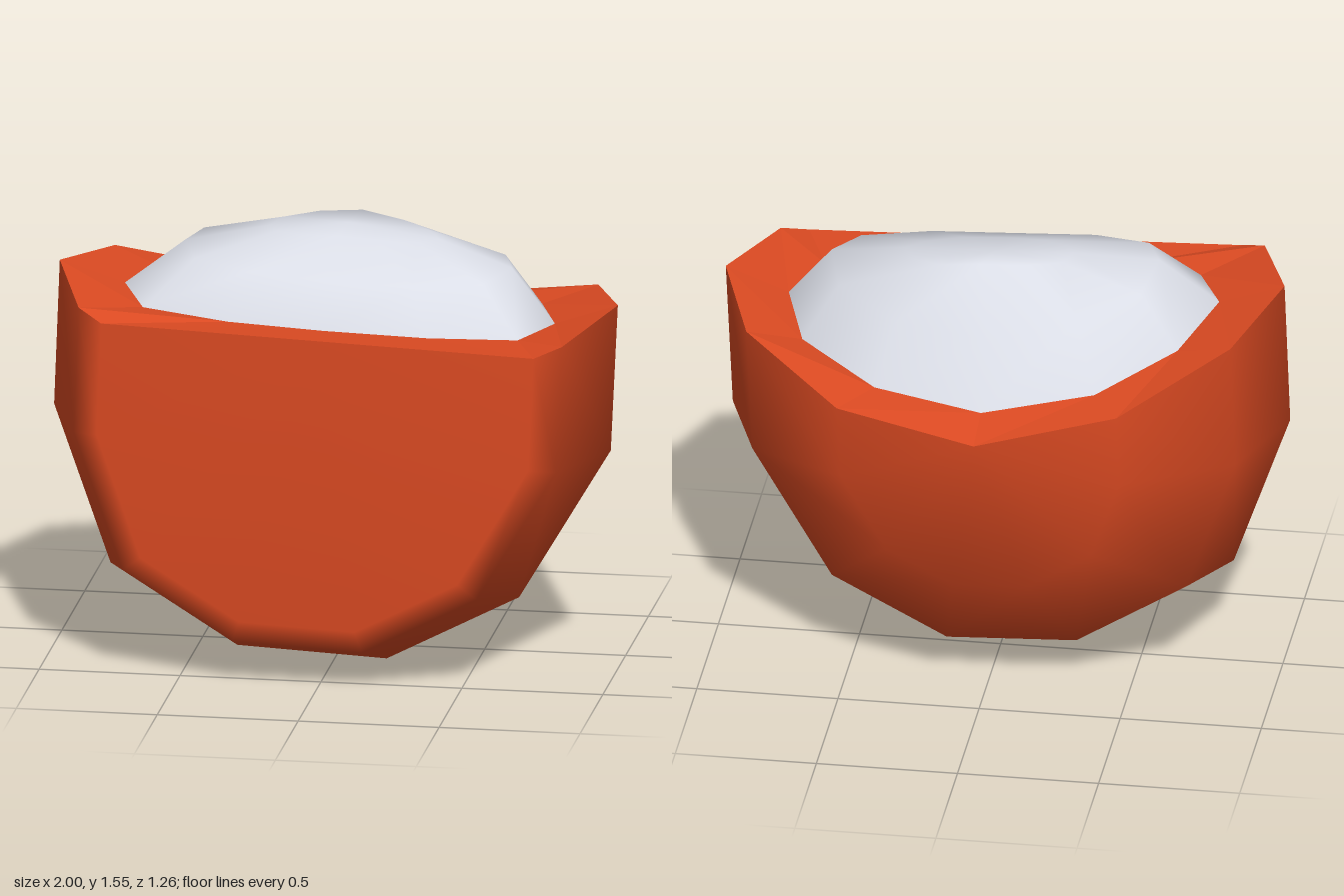
import * as THREE from 'three';
import { mergeVertices } from 'three/addons/utils/BufferGeometryUtils.js';

const shellOrange = new THREE.MeshStandardMaterial({ color: 0xdb4a22 });
const fillingWhite = new THREE.MeshStandardMaterial({ color: 0xdadde6 });

// Skin a list of equally long cross-sections; smooth ones share their vertices
function loft(rings, closed, smooth) {
  const n = rings[0].length, pos = [];
  for (let i = 0; i < rings.length - 1; i++) {
    for (let j = 0; j < (closed ? n : n - 1); j++) {
      const k = (j + 1) % n;
      const a = rings[i][j], b = rings[i][k], c = rings[i + 1][k], d = rings[i + 1][j];
      pos.push(...a, ...b, ...c, ...a, ...c, ...d);
    }
  }
  return build(pos, smooth);
}

function build(pos, smooth) {
  let geo = new THREE.BufferGeometry();
  geo.setAttribute('position', new THREE.Float32BufferAttribute(pos, 3));
  if (smooth) geo = mergeVertices(geo);
  geo.computeVertexNormals();
  return geo;
}

function addMesh(group, name, geo, mat) {
  const mesh = new THREE.Mesh(geo, mat);
  mesh.name = name;
  group.add(mesh);
}

export function createModel() {
  const group = new THREE.Group();

  // Widest section of the shell, from the left rim under the belly to the right rim
  const section = [[-0.98, 1.405], [-1, 0.88], [-0.8, 0.31], [-0.35, 0.03],
    [0.18, 0.005], [0.65, 0.25], [0.975, 0.8], [1, 1.33]];
  // Depth and scale of each section, from the back pole to the flat front
  const stations = [[-0.53, 0.5], [-0.23, 0.866], [0.17, 1], [0.57, 0.866], [0.63, 0.775]];
  const pole = [0, 1.105, -0.63];
  const rings = [section.map(() => pole),
    ...stations.map(([z, s]) => section.map(([x, y]) => [x * s, 1 + (y - 1) * s, z]))];
  // Close the flat front onto a centre point
  const front = rings[rings.length - 1];
  const rimFront = [0, (front[0][1] + front[7][1]) / 2, 0.63];
  rings.push(section.map(() => rimFront));
  addMesh(group, 'outerShell', loft(rings, false, true), shellOrange);

  // Outline where the filling meets the rim, starting at the back and going to +x
  const base = [[0, 1.15, -0.46], [0.39, 1.18, -0.38], [0.68, 1.23, -0.15], [0.775, 1.25, 0.16],
    [0.68, 1.25, 0.39], [0.37, 1.262, 0.455], [0, 1.275, 0.465], [-0.34, 1.29, 0.455],
    [-0.65, 1.31, 0.39], [-0.75, 1.33, 0.16], [-0.65, 1.29, -0.155], [-0.39, 1.21, -0.38]];
  const outer = rings.slice(1, 6);
  const rim = [pole, ...outer.map((r) => r[7]), rimFront, ...outer.map((r) => r[0]).reverse()];
  addMesh(group, 'rim', loft([base, rim], true, false), shellOrange);

  // Rounded filling: shoulder and crown above the base outline
  const shoulder = [[0, 1.36, -0.31], [0.33, 1.38, -0.26], [0.56, 1.42, -0.09], [0.62, 1.44, 0.14],
    [0.54, 1.42, 0.3], [0.3, 1.42, 0.37], [0, 1.43, 0.38], [-0.28, 1.45, 0.37],
    [-0.48, 1.47, 0.3], [-0.54, 1.49, 0.14], [-0.51, 1.47, -0.09], [-0.31, 1.43, -0.26]];
  const crown = [[0.05, 1.555, -0.11], [0.2, 1.53, -0.09], [0.3, 1.515, -0.03], [0.35, 1.51, 0.06],
    [0.28, 1.51, 0.12], [0.15, 1.52, 0.15], [0, 1.53, 0.15], [-0.12, 1.53, 0.15],
    [-0.22, 1.53, 0.12], [-0.25, 1.535, 0.06], [-0.22, 1.54, -0.03], [-0.1, 1.55, -0.09]];
  const top = crown.map(() => [0.02, 1.545, 0.02]);
  addMesh(group, 'filling', loft([top, crown, shoulder, base], true, true), fillingWhite);

  return group;
}
